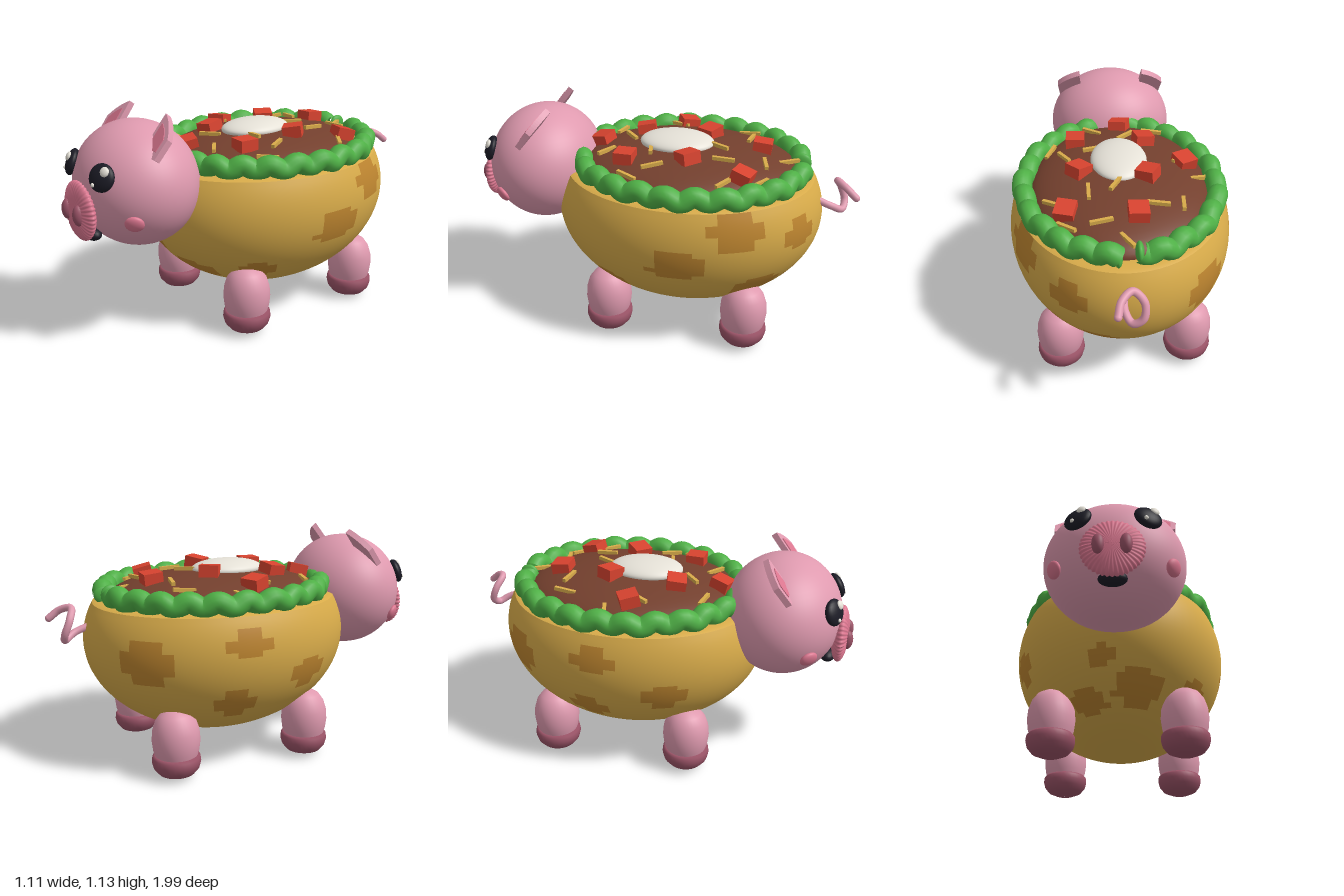
import * as THREE from 'three';

const mat = (name, color) => Object.assign(new THREE.MeshStandardMaterial({ color }), { name });
const M = {
  pink: mat('pink skin', 0xdf9aaf),
  rose: mat('rose snout', 0xdc7790),
  hoof: mat('hoof mauve', 0x9c5468),
  black: mat('eye black', 0x1c1c26),
  white: mat('cream white', 0xe6e2d8),
  shell: mat('shell gold', 0xd9ac4a),
  spot: mat('toasted spot', 0xbf8630),
  lettuce: mat('lettuce green', 0x4fb046),
  beef: mat('filling brown', 0x74402e),
  tomato: mat('tomato red', 0xd8432f),
};
const RX = 0.555, RY = 0.495, RZ = 0.69, CY = 0.62, CZ = -0.135, RIM = Math.asin(0.19 / RY);
const V = (x, y, z) => new THREE.Vector3(x, y, z);
const lathe = (pts, n) => new THREE.LatheGeometry(pts.map(p => new THREE.Vector2(...p)), n);

export function createModel() {
  const root = new THREE.Group();
  root.name = 'pigTaco';
  const add = (name, geo, material, pos = [0, 0, 0], parent = root) => {
    const m = new THREE.Mesh(geo, material);
    m.name = name;
    m.position.set(...pos);
    parent.add(m);
    return m;
  };
  const ball = (name, material, pos, r, seg = 24) =>
    add(name, new THREE.SphereGeometry(1, seg * 2, seg).scale(...r), material, pos);

  // Shell: cut ellipsoid whose grid cells are toasted in blocky patches
  const rows = 36, segs = 72;
  const profile = [];
  for (let j = 0; j <= rows; j++) {
    const a = -Math.PI / 2 + (RIM + Math.PI / 2) * j / rows;
    profile.push([Math.max(Math.cos(a), 1e-4), Math.sin(a)]);
  }
  const shell = lathe(profile, segs);
  // [azimuth in degrees, height, size]
  const patches = [[-65, 0.5, 1], [-8, 0.42, 0.7], [-22, 0.25, 0.9], [14, 0.3, 1.15], [54, 0.34, 0.8],
    [-95, 0.68, 0.8], [93, 0.55, 1], [118, 0.72, 1], [150, 0.65, 0.9], [132, 0.37, 1],
    [-138, 0.6, 1.2], [-100, 0.38, 1], [162, 0.35, 0.9]];
  const toasted = (az, lat) => patches.some(([deg, y, s]) => {
    const d = az - deg * Math.PI / 180;
    const u = Math.abs(Math.atan2(Math.sin(d), Math.cos(d))) * Math.cos(lat) / (0.18 * s);
    const v = Math.abs(lat - Math.asin((y - CY) / RY)) / (0.17 * s);
    return (u < 1 && v < 0.55) || (u < 0.55 && v < 1);
  });
  const plain = [], marked = [], idx = shell.index.array;
  for (let i = 0; i < segs; i++) for (let j = 0; j < rows; j++) {
    const az = (i + 0.5) / segs * Math.PI * 2;
    const lat = -Math.PI / 2 + (RIM + Math.PI / 2) * (j + 0.5) / rows;
    const k = (i * rows + j) * 6;
    (toasted(az, lat) ? marked : plain).push(...idx.slice(k, k + 6));
  }
  shell.setIndex([...plain, ...marked]);
  shell.addGroup(0, plain.length, 0);
  shell.addGroup(plain.length, marked.length, 1);
  shell.scale(RX, RY, RZ);
  add('shell', shell, [M.shell, M.spot], [0, CY, CZ]);
  const c = Math.cos(RIM);
  add('shellRim', lathe([[c, 0], [c - 0.03, 0.008], [c - 0.09, 0.012], [0.75, 0.012], [0.001, 0.012]], segs)
    .scale(RX, 1, RZ), M.shell, [0, 0.81, CZ]);

  // Filling and toppings
  add('filling', new THREE.SphereGeometry(1, 56, 16, 0, Math.PI * 2, 0, Math.PI / 2).scale(0.445, 0.13, 0.57),
    M.beef, [0, 0.82, -0.13]);
  const top = (x, z) => 0.82 + 0.13 * Math.sqrt(Math.max(0, 1 - (x / 0.445) ** 2 - ((z + 0.13) / 0.57) ** 2));
  ball('creamDollop', M.white, [0, 0.948, -0.07], [0.14, 0.05, 0.19]);
  [[-0.06, -0.5], [0.27, -0.44], [-0.13, -0.22], [0.2, -0.16], [-0.33, -0.07], [-0.14, 0.12], [0.21, 0.15], [-0.03, 0.33]]
    .forEach(([x, z], i) => {
      add('tomatoCube', new THREE.BoxGeometry(0.095, 0.06, 0.095), M.tomato, [x, top(x, z) + 0.02, z])
        .rotation.set(z * 0.4 + 0.1, i * 1.3, -x * 0.7);
    });
  // [x, z, turn in degrees]
  [[-0.28, -0.41, 85], [-0.16, -0.43, -10], [0.11, -0.53, 12], [0.27, -0.52, -40], [0.16, -0.33, 90], [0.33, -0.36, -35],
    [0.03, -0.29, 60], [-0.4, -0.17, 15], [-0.3, -0.03, 60], [0.27, 0, -60], [0.34, 0.11, 65], [0.12, 0.04, 10],
    [-0.05, 0.18, 40], [-0.2, 0.27, -12], [0.12, 0.27, -35], [0, -0.64, -60]]
    .forEach(([x, z, a]) => {
      add('cheeseStrip', new THREE.BoxGeometry(0.11, 0.018, 0.018), M.shell, [x, top(x, z) + 0.01, z])
        .rotation.set(0, a * Math.PI / 180, -x * 0.3);
    });

  // Lettuce: wavy ring, open at the back
  const ring = [];
  for (let i = 0; i <= 240; i++) {
    const a = Math.PI + 0.1 + (Math.PI * 2 - 0.2) * i / 240;
    const w = 1 + 0.012 * Math.sin(a * 13);
    ring.push(V(0.475 * w * Math.sin(a), 0.862 + 0.014 * Math.sin(a * 26), -0.145 + 0.565 * w * Math.cos(a)));
  }
  add('lettuce', new THREE.TubeGeometry(new THREE.CatmullRomCurve3(ring), 300, 0.05, 14), M.lettuce);
  for (const p of [ring[0], ring[240]]) ball('lettuceEnd', M.lettuce, p.toArray(), [0.02, 0.049, 0.049], 10);

  // Head
  const HC = V(0, 0.785, 0.637), HR = V(0.335, 0.3, 0.292);
  ball('head', M.pink, HC.toArray(), HR.toArray(), 32);
  const onHead = (x, y) => {
    const dx = x / HR.x, dy = (y - HC.y) / HR.y, dz = Math.sqrt(1 - dx * dx - dy * dy);
    return { p: V(x, y, HC.z + HR.z * dz), n: V(dx / HR.x, dy / HR.y, dz / HR.z).normalize() };
  };
  const stick = (name, material, x, y, r, lift = 0) => {
    const { p, n } = onHead(x, y);
    p.addScaledVector(n, lift);
    ball(name, material, p.toArray(), r, 14).lookAt(p.clone().add(n));
  };

  // Snout: flattened ball with radial ribs
  const snout = new THREE.SphereGeometry(1, 160, 20).rotateX(Math.PI / 2);
  const sp = snout.attributes.position;
  for (let i = 0; i < sp.count; i++) {
    const x = sp.getX(i), y = sp.getY(i), r = Math.hypot(x, y);
    const k = 1 + 0.025 * r * Math.cos(Math.atan2(y, x) * 40);
    sp.setXYZ(i, x * k, y * k, sp.getZ(i) * (1 + 0.08 * r * (k - 1) / 0.025));
  }
  snout.scale(0.142, 0.139, 0.042);
  snout.computeVertexNormals();
  add('snout', snout, M.rose, [0, 0.7, 0.93]);
  ball('mouth', M.black, [0, 0.578, 0.88], [0.065, 0.033, 0.04], 14);

  for (const s of [1, -1]) {
    ball('nostril', M.hoof, [s * 0.06, 0.7, 0.965], [0.028, 0.05, 0.028], 14);
    stick('eye', M.black, s * 0.153, 0.885, [0.067, 0.065, 0.03], 0.008);
    stick('eyeGlint', M.white, s * 0.15 + 0.021, 0.908, [0.022, 0.023, 0.012], 0.034);
    stick('smallEyeGlint', M.white, s * 0.15 - 0.014, 0.853, [0.01, 0.01, 0.008], 0.034);
    stick('cheek', M.rose, s * 0.262, 0.685, [0.045, 0.041, 0.02], 0.005);

    // Ear: leaf leaning back, with a rosy inner plate
    const ear = new THREE.Group();
    ear.name = 'ear';
    ear.position.set(s * 0.23, 0.985, 0.67);
    ear.rotation.x = -0.66;
    root.add(ear);
    const leaf = k => {
      const q = (x, y) => [s * (x * k - 0.003), 0.06 + (y - 0.06) * k];
      const sh = new THREE.Shape();
      sh.moveTo(...q(-0.055, 0.185));
      sh.quadraticCurveTo(...q(0.02, 0.15), ...q(0.066, 0.075));
      sh.lineTo(...q(0.058, -0.03));
      sh.lineTo(...q(-0.06, -0.03));
      sh.quadraticCurveTo(...q(-0.065, 0.09), ...q(-0.055, 0.185));
      return sh;
    };
    add('earLeaf', new THREE.ExtrudeGeometry(leaf(1), { depth: 0.03, bevelEnabled: false }), M.pink, [0, 0, -0.025], ear);
    add('innerEar', new THREE.ExtrudeGeometry(leaf(0.62), { depth: 0.006, bevelEnabled: false }), M.rose, [0, 0, 0.003], ear);

    // Legs and hooves
    for (const [end, z] of [['front', 0.222], ['back', -0.485]]) {
      add(end + 'Leg', lathe([[0.1, 0.1], [0.112, 0.14], [0.118, 0.19], [0.114, 0.24], [0.1, 0.285],
        [0.075, 0.32], [0.04, 0.34], [0.001, 0.347]], 32), M.pink, [s * 0.325, 0, z]);
      add(end + 'Hoof', lathe([[0.001, 0], [0.05, 0.006], [0.09, 0.023], [0.112, 0.05], [0.12, 0.08],
        [0.117, 0.105], [0.106, 0.117], [0.001, 0.119]], 32), M.hoof, [s * 0.325, 0, z]);
    }
  }

  // Curly tail
  const tail = new THREE.CatmullRomCurve3([V(0.03, 0.71, -0.79), V(0.03, 0.68, -0.87), V(0, 0.655, -0.92),
    V(-0.045, 0.69, -0.93), V(-0.05, 0.76, -0.905), V(0, 0.81, -0.885), V(0.05, 0.795, -0.93), V(0.068, 0.755, -0.98)]);
  add('tail', new THREE.TubeGeometry(tail, 60, 0.018, 12), M.pink);
  ball('tailTip', M.pink, [0.068, 0.755, -0.98], [0.018, 0.018, 0.018], 8);
  return root;
}
